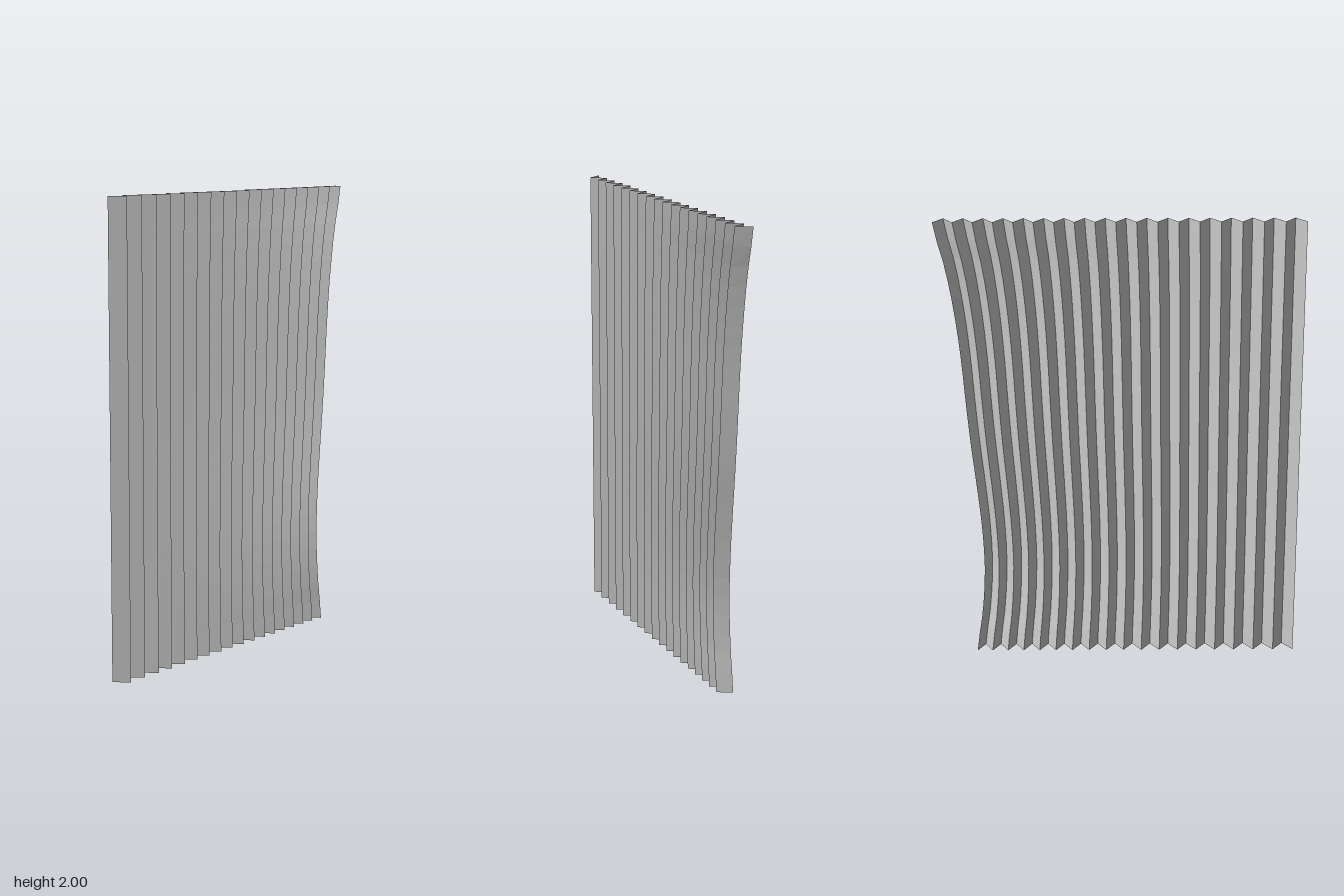
import * as THREE from 'three';

const PLEATS = 18, ROWS = 24, HEIGHT = 2;
const LEFT = -0.782, PITCH = 0.091, DEPTH = 0.031;

// Free edge of the curtain, as (x, y) from bottom to top
const freeEdge = new THREE.SplineCurve([
  [0.645, 0], [0.617, 0.2], [0.603, 0.4], [0.609, 0.6], [0.627, 0.8], [0.648, 1],
  [0.665, 1.2], [0.68, 1.4], [0.702, 1.6], [0.735, 1.8], [0.782, 2],
].map(([x, y]) => new THREE.Vector2(x, y)));

export function createModel() {
  const group = new THREE.Group();
  group.name = 'pleatedCurtain';

  // Sheet folded into sharp zigzag pleats; the sway grows with the square
  // of the distance from the straight hanging edge
  const geometry = new THREE.PlaneGeometry(1, 1, PLEATS * 2, ROWS);
  const pos = geometry.attributes.position;
  const columns = PLEATS * 2 + 1;
  const fullWidth = PLEATS * PITCH;
  for (let i = 0; i < pos.count; i++) {
    const column = i % columns;
    const v = 1 - Math.floor(i / columns) / ROWS;
    const t = column / (columns - 1);
    const sway = freeEdge.getPoint(v).x - (LEFT + fullWidth);
    pos.setXYZ(i, LEFT + fullWidth * t + sway * t * t, v * HEIGHT, column % 2 ? DEPTH : -DEPTH);
  }
  geometry.computeVertexNormals();

  const curtain = new THREE.Mesh(geometry, new THREE.MeshStandardMaterial({
    color: 0xcccccc, flatShading: true, side: THREE.DoubleSide,
  }));
  curtain.name = 'curtainSheet';
  group.add(curtain);
  return group;
}
